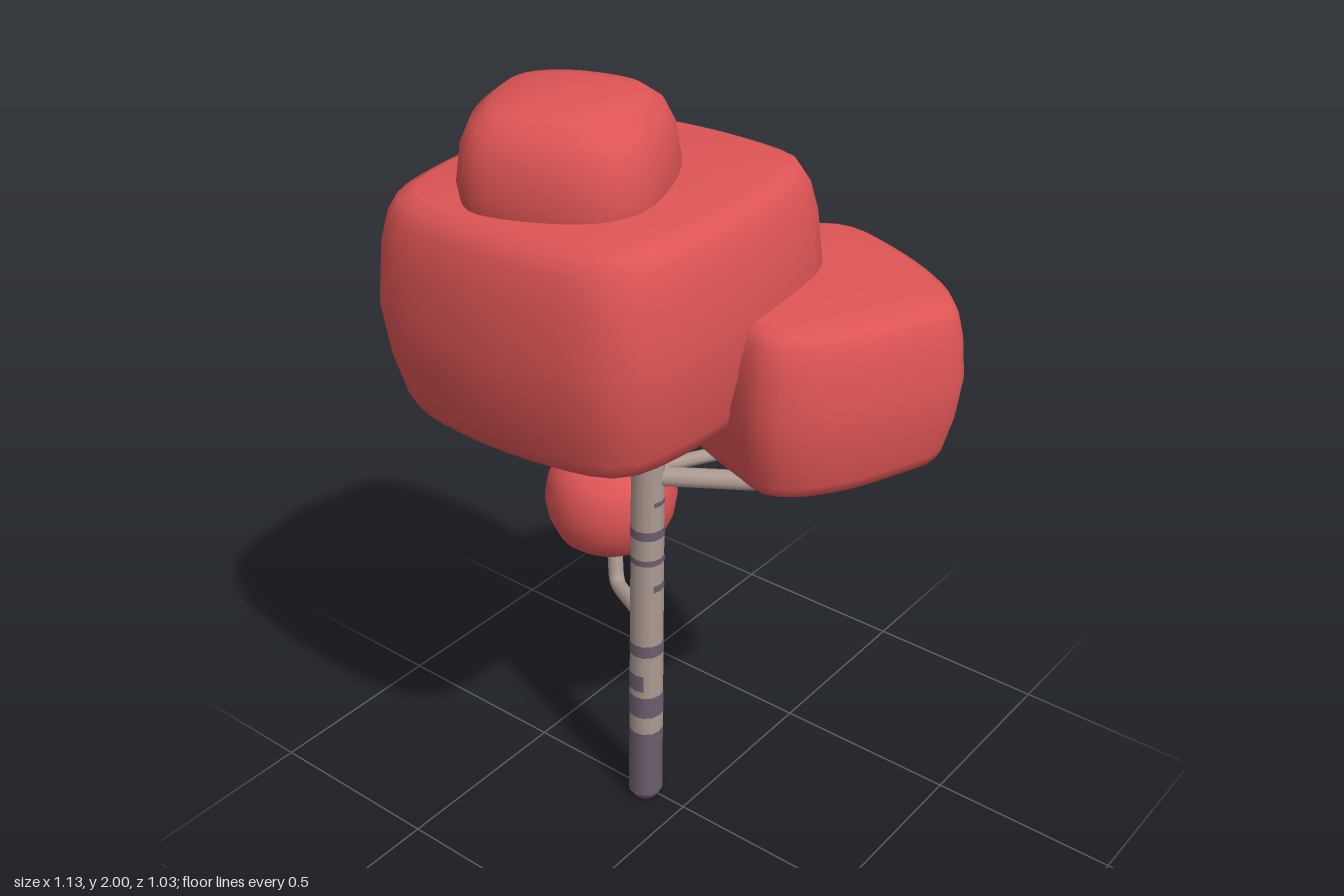
import * as THREE from 'three';

const mat = (name, color) => {
  const m = new THREE.MeshStandardMaterial({ color });
  m.name = name;
  return m;
};

// Profiles are [outline scale, height fraction] from bottom to top
const BOXY = [[0, 0], [0.5, 0], [0.8, 0.005], [0.87, 0.03], [0.91, 0.1], [0.97, 0.3], [1, 0.52],
  [0.97, 0.76], [0.93, 0.89], [0.88, 0.96], [0.8, 0.985], [0.45, 1], [0, 1]];
const ROUND = [[0, 0], [0.4, 0.01], [0.64, 0.05], [0.82, 0.15], [0.95, 0.34], [1, 0.54],
  [0.95, 0.74], [0.85, 0.87], [0.68, 0.95], [0.4, 0.99], [0, 1]];

// Smooth leaf clump lofted from a closed plan outline of [x, z] points
function clump(name, material, outline, y0, y1, profile, tiltX = 0, tiltZ = 0) {
  const curve = new THREE.CatmullRomCurve3(
    outline.map(([x, z]) => new THREE.Vector3(x, 0, z)), true, 'centripetal');
  const n = 48;
  const ring = curve.getSpacedPoints(n).slice(0, n);
  const c = ring.reduce((s, p) => s.add(p), new THREE.Vector3()).divideScalar(n);
  const pos = [], idx = [];
  profile.forEach(([s, h], r) => ring.forEach((p, i) => {
    const dx = (p.x - c.x) * s, dz = (p.z - c.z) * s;
    pos.push(c.x + dx, y0 + (y1 - y0) * h + tiltX * dx + tiltZ * dz, c.z + dz);
    if (r === 0) return;
    const j = (i + 1) % n, lo = (r - 1) * n, hi = r * n;
    idx.push(lo + i, hi + i, lo + j, lo + j, hi + i, hi + j);
  }));
  const g = new THREE.BufferGeometry();
  g.setAttribute('position', new THREE.Float32BufferAttribute(pos, 3));
  g.setIndex(idx);
  g.computeVertexNormals();
  const mesh = new THREE.Mesh(g, material);
  mesh.name = name;
  return mesh;
}

// Bent branch: two straight runs joined by a short elbow
function branch(name, material, a, b, c, radius) {
  const [A, B, C] = [a, b, c].map(p => new THREE.Vector3(...p));
  const toward = (p) => B.clone().add(p.clone().sub(B).setLength(0.035));
  const path = new THREE.CurvePath();
  path.add(new THREE.LineCurve3(A, toward(A)));
  path.add(new THREE.QuadraticBezierCurve3(toward(A), B, toward(C)));
  path.add(new THREE.LineCurve3(toward(C), C));
  const mesh = new THREE.Mesh(new THREE.TubeGeometry(path, 28, radius, 8), material);
  mesh.name = name;
  return mesh;
}

export function createModel() {
  const tree = new THREE.Group();
  tree.name = 'tree';
  const leaf = mat('red leaves', 0xdf5555);
  const bark = mat('pale bark', 0xac9b92);
  const dark = mat('dark bark', 0x6c5e6e);

  // Trunk, leaning very slightly as it rises
  const SIDES = 12, TOP = 1.32;
  const radiusAt = y => 0.046 - 0.006 * y / TOP;
  function trunkPart(name, material, y0, y1, grow, start, count, open) {
    const g = new THREE.CylinderGeometry(radiusAt(y1) + grow, radiusAt(y0) + grow, y1 - y0,
      count, 1, open, start * Math.PI * 2 / SIDES, count * Math.PI * 2 / SIDES);
    g.translate(0, (y0 + y1) / 2, 0);
    const p = g.attributes.position;
    for (let i = 0; i < p.count; i++) {
      const t = p.getY(i) / TOP;
      p.setX(i, p.getX(i) - 0.121 + 0.012 * t);
      p.setZ(i, p.getZ(i) + 0.011 - 0.02 * t);
    }
    const mesh = new THREE.Mesh(g, material);
    mesh.name = name;
    tree.add(mesh);
  }
  trunkPart('trunk', bark, 0.23, TOP, 0, 0, SIDES, false);
  trunkPart('trunkBase', dark, 0.02, 0.23, 0, 0, SIDES, false);
  const foot = new THREE.Mesh(new THREE.CylinderGeometry(0.046, 0.034, 0.02, SIDES), dark);
  foot.name = 'trunkFoot';
  foot.position.set(-0.121, 0.01, 0.011);
  tree.add(foot);

  // Bark bands: bottom, top, first side, number of sides (side 0 starts at the front)
  const bands = [
    [0.285, 0.35, 10, 8], [0.30, 0.34, 7, 2], [0.37, 0.42, 8, 5], [0.23, 0.26, 5, 2],
    [0.48, 0.515, 0, 12], [0.60, 0.615, 5, 3], [0.68, 0.70, 2, 5], [0.76, 0.777, 9, 9],
    [0.835, 0.86, 0, 12], [0.93, 0.943, 2, 4], [0.98, 0.995, 6, 3], [1.05, 1.067, 10, 5],
    [1.12, 1.135, 5, 3],
  ];
  bands.forEach(([y0, y1, s, n]) => trunkPart('barkBand', dark, y0, y1, 0.0015, s, n, true));

  // Branches
  tree.add(
    branch('lowerBranch', bark, [-0.115, 0.565, 0], [-0.315, 0.533, -0.115], [-0.35, 0.70, -0.15], 0.021),
    branch('frontBranch', bark, [-0.11, 1.18, 0], [-0.245, 1.155, 0.185], [-0.285, 1.32, 0.235], 0.022),
    branch('sideBranch', bark, [-0.11, 1.0, -0.005], [0.11, 0.982, -0.18], [0.135, 1.22, -0.19], 0.025),
    branch('backBranch', bark, [-0.11, 1.02, -0.005], [0.0, 0.985, -0.315], [-0.035, 1.14, -0.36], 0.018),
  );

  // Leaf clumps
  tree.add(
    clump('mainCrown', leaf, [[-0.52, -0.22], [-0.47, -0.27], [-0.28, -0.31], [-0.02, -0.31],
      [0.17, -0.27], [0.22, -0.22], [0.26, -0.02], [0.26, 0.23], [0.22, 0.42], [0.17, 0.47],
      [-0.02, 0.51], [-0.28, 0.51], [-0.47, 0.47], [-0.52, 0.42], [-0.56, 0.23], [-0.56, -0.02]],
      1.27, 1.805, BOXY, 0.035, -0.025),
    clump('topCrown', leaf, [[-0.425, 0.12], [-0.4, 0.04], [-0.3, -0.04], [-0.13, -0.08],
      [-0.06, -0.06], [0.02, 0.04], [0.08, 0.22], [0.06, 0.3], [-0.02, 0.365], [-0.22, 0.42],
      [-0.29, 0.39], [-0.37, 0.28]],
      1.62, 2.0, ROUND, 0, 0.01),
    clump('sideCrown', leaf, [[0.12, -0.515], [0.25, -0.49], [0.42, -0.42], [0.53, -0.34],
      [0.56, -0.28], [0.53, -0.16], [0.46, 0.02], [0.38, 0.13], [0.32, 0.16], [0.24, 0.14],
      [0.05, 0.075], [-0.08, 0], [-0.1, -0.07], [-0.05, -0.29], [0.05, -0.48]],
      1.155, 1.57, BOXY, -0.05, 0.02),
    clump('lowerClump', leaf, [[-0.555, -0.17], [-0.5, -0.28], [-0.39, -0.345], [-0.27, -0.31],
      [-0.2, -0.22], [-0.19, -0.11], [-0.26, -0.02], [-0.38, 0.01], [-0.5, -0.05]],
      0.63, 0.895, ROUND, 0.06, 0),
    clump('backClump', leaf, [[-0.185, -0.36], [-0.15, -0.43], [-0.08, -0.5], [-0.03, -0.51],
      [0.05, -0.45], [0.08, -0.36], [0.04, -0.27], [-0.05, -0.23], [-0.15, -0.28]],
      1.08, 1.29, ROUND, -0.04, 0),
  );
  return tree;
}
